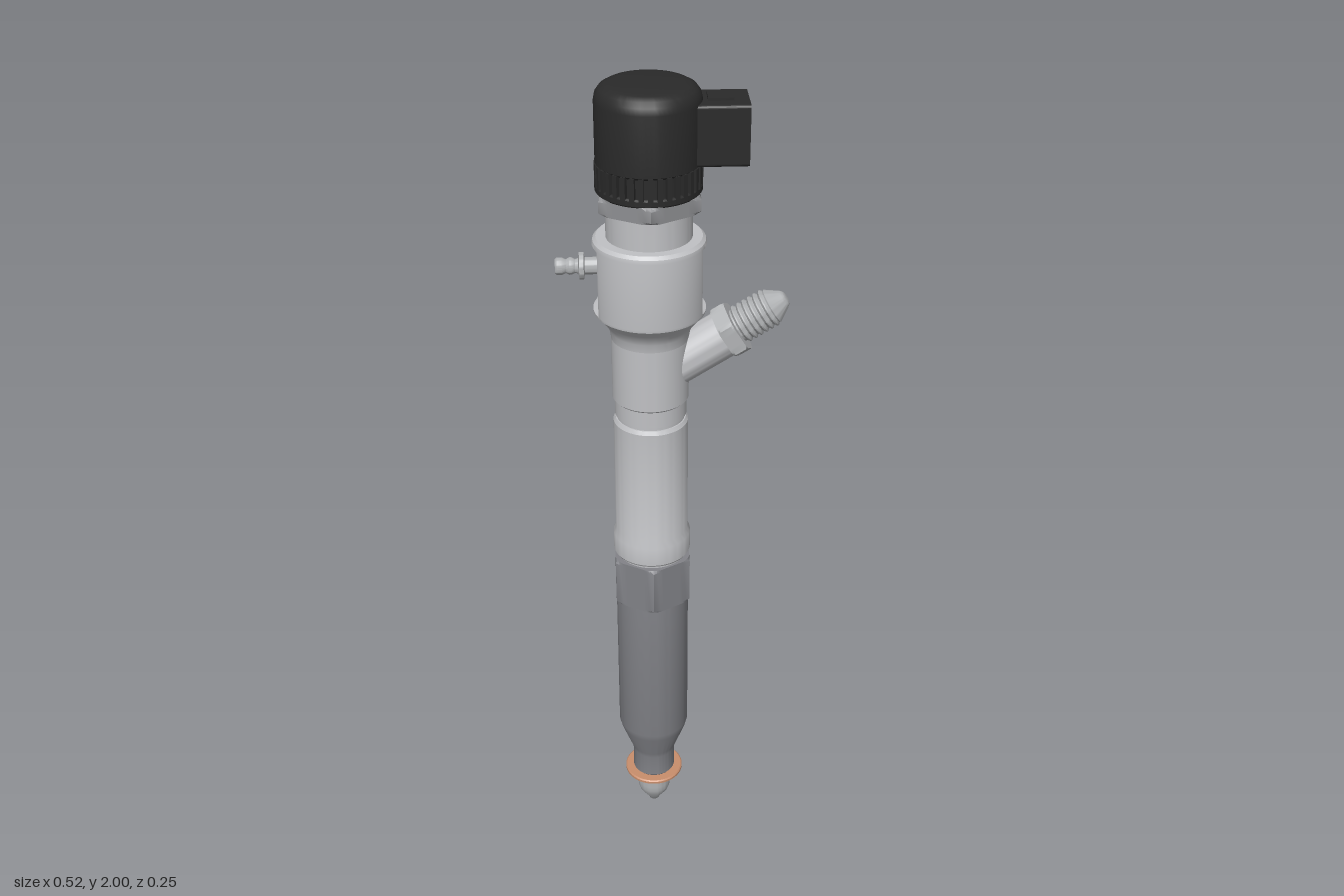
import * as THREE from 'three';
import { mergeGeometries, toCreasedNormals } from 'three/addons/utils/BufferGeometryUtils.js';

const mat = (name, color) => {
  const m = new THREE.MeshStandardMaterial({ color });
  m.name = name;
  return m;
};

export function createModel() {
  const black = mat('black plastic', 0x2a2a2a);
  const silver = mat('light steel', 0xc0c1c4);
  const fittingSteel = mat('fitting steel', 0xb2b4b6);
  const nutSteel = mat('nut steel', 0x8f9093);
  const sleeveSteel = mat('sleeve steel', 0x828388);
  const copper = mat('copper', 0xc98e6c);

  const group = new THREE.Group();
  const axis = new THREE.Group(); // main axis of the body
  axis.name = 'body';
  axis.position.x = -0.053;
  group.add(axis);

  const add = (parent, name, geometry, material) => {
    const mesh = new THREE.Mesh(geometry, material);
    mesh.name = name;
    parent.add(mesh);
    return mesh;
  };

  // Closed turned part from [radius, y] pairs, bottom to top; rule may move each vertex
  const turned = (pairs, rule, segments = 72) => {
    const ends = [[0, pairs[0][1]], ...pairs, [0, pairs[pairs.length - 1][1]]];
    const g = new THREE.LatheGeometry(ends.map(([r, y]) => new THREE.Vector2(r, y)), segments);
    if (rule) {
      const p = g.attributes.position;
      const v = new THREE.Vector3();
      for (let i = 0; i < p.count; i++) {
        rule(v.fromBufferAttribute(p, i));
        p.setXYZ(i, v.x, v.y, v.z);
      }
    }
    return toCreasedNormals(g, 0.5);
  };

  // Limits a turned part to a hexagon with corners on the z axis
  const hexRule = (corner) => (v) => {
    const r = Math.hypot(v.x, v.z);
    if (r < 1e-6) return;
    const sixth = Math.PI / 3;
    const a = (Math.atan2(v.x, v.z) + 2 * Math.PI + 1e-7) % sixth - sixth / 2;
    const s = Math.min(1, (corner * Math.cos(sixth / 2)) / Math.cos(a) / r);
    v.x *= s;
    v.z *= s;
  };
  const hexNut = (corner, y0, y1, chamfer) => turned([
    [corner * 0.93, y0], [corner, y0 + chamfer], [corner, y1 - chamfer], [corner * 0.93, y1],
  ], hexRule(corner));

  // Nozzle, sealing washer and lower sleeve
  add(axis, 'nozzle', turned([
    [0.004, 0], [0.012, 0.006], [0.02, 0.02], [0.037, 0.045], [0.042, 0.06], [0.043, 0.075], [0.043, 0.14],
  ]), fittingSteel);
  add(axis, 'washer', turned([
    [0.072, 0.118], [0.075, 0.121], [0.075, 0.127], [0.072, 0.13],
  ]), copper);
  add(axis, 'lowerSleeve', turned([
    [0.051, 0.13], [0.054, 0.134], [0.054, 0.195], [0.058, 0.21], [0.084, 0.28],
    [0.089, 0.3], [0.089, 0.715],
  ]), sleeveSteel);
  add(axis, 'lowerNut', hexNut(0.104, 0.71, 0.835, 0.006), sleeveSteel);

  // Main shaft with collar and groove
  add(axis, 'shaft', turned([
    [0.084, 0.83], [0.084, 0.843], [0.09, 0.843], [0.093, 0.848], [0.093, 0.895], [0.087, 0.91],
    [0.087, 1.207], [0.082, 1.216], [0.079, 1.216], [0.079, 1.223], [0.083, 1.225],
    [0.083, 1.265], [0.088, 1.27], [0.088, 1.43],
  ]), silver);

  // Head with two side flats between full round rims
  add(axis, 'head', turned([
    [0.088, 1.42], [0.091, 1.44], [0.098, 1.456], [0.11, 1.47], [0.121, 1.483], [0.125, 1.487],
    [0.126, 1.493], [0.126, 1.496], [0.126, 1.645], [0.126, 1.648], [0.124, 1.657],
    [0.117, 1.664], [0.095, 1.664], [0.095, 1.74],
  ], (v) => {
    const limit = v.y < 1.484 ? 0.1 : v.y > 1.4945 && v.y < 1.647 ? 0.115 : 1;
    v.x = THREE.MathUtils.clamp(v.x, -limit, limit);
  }), silver);
  add(axis, 'upperNut', hexNut(0.126, 1.735, 1.772, 0.006), nutSteel);

  // Plastic cap and its grip ribs
  add(axis, 'cap', turned([
    [0.107, 1.77], [0.107, 1.828], [0.114, 1.834], [0.114, 1.965], [0.111, 1.98],
    [0.103, 1.991], [0.09, 1.998], [0.075, 2],
  ]), black);
  const ribs = [];
  for (let i = 0; i < 36; i++) {
    const rib = new THREE.BoxGeometry(0.011, 0.05, 0.012);
    rib.translate(0, 1.808, 0.11).rotateY((i / 36) * Math.PI * 2);
    ribs.push(rib);
  }
  add(axis, 'gripRibs', mergeGeometries(ribs), black);
  add(axis, 'gripRing', turned([[0.114, 1.77], [0.116, 1.773], [0.116, 1.784], [0.112, 1.787]]), black);

  // Plug socket, open towards +x, with two pins
  const rounded = (Type, w, h, r) => {
    const s = new Type();
    s.moveTo(w, h - r);
    s.absarc(w - r, h - r, r, 0, Math.PI / 2);
    s.absarc(-w + r, h - r, r, Math.PI / 2, Math.PI);
    s.absarc(-w + r, -h + r, r, Math.PI, Math.PI * 1.5);
    s.absarc(w - r, -h + r, r, Math.PI * 1.5, Math.PI * 2);
    s.closePath();
    return s;
  };
  const socket = new THREE.Group();
  socket.name = 'plugSocket';
  socket.position.y = 1.9;
  group.add(socket);
  const frame = rounded(THREE.Shape, 0.056, 0.066, 0.007);
  frame.holes.push(rounded(THREE.Path, 0.043, 0.052, 0.006));
  const shell = new THREE.ExtrudeGeometry(frame, { depth: 0.152, bevelEnabled: false, curveSegments: 4 });
  add(socket, 'socketShell', shell.rotateY(Math.PI / 2).translate(0.005, 0, 0), black);
  add(socket, 'socketFloor', new THREE.BoxGeometry(0.09, 0.108, 0.09).translate(0.06, 0, 0), black);
  add(socket, 'latchTab', new THREE.BoxGeometry(0.054, 0.012, 0.048).translate(0.097, 0.066, 0), black);
  for (const side of [-1, 1]) {
    add(socket, 'pin', new THREE.BoxGeometry(0.045, 0.014, 0.012).translate(0.125, 0, side * 0.019), silver);
  }

  // Return nipple pointing to -x
  const nipple = add(group, 'returnNipple', turned([
    [0.019, 0], [0.019, 0.055], [0.03, 0.057], [0.03, 0.067], [0.017, 0.069], [0.015, 0.076],
    [0.019, 0.084], [0.019, 0.089], [0.015, 0.096], [0.019, 0.105], [0.019, 0.116], [0.016, 0.12],
  ], null, 32), fittingSteel);
  nipple.position.set(-0.14, 1.594, 0);
  nipple.rotation.z = Math.PI / 2;

  // Slanted inlet: branch, nut, threaded stud and sealing cone
  const inlet = new THREE.Group();
  inlet.name = 'inlet';
  inlet.position.set(0.13, 1.43, 0);
  inlet.rotation.z = THREE.MathUtils.degToRad(32 - 90);
  group.add(inlet);
  add(inlet, 'branch', turned([[0.054, -0.19], [0.054, -0.012]], null, 48), silver);
  const nut = add(inlet, 'inletNut', hexNut(0.067, -0.018, 0.018, 0.005), fittingSteel);
  nut.rotation.y = Math.PI / 2;
  const thread = [[0.039, 0.015]];
  for (let i = 0; i < 6; i++) {
    const y = 0.022 + i * 0.014;
    thread.push([0.039, y], [0.045, y + 0.005], [0.045, y + 0.008], [0.039, y + 0.013]);
  }
  thread.push([0.041, 0.108], [0.021, 0.138], [0.016, 0.143], [0.008, 0.146]);
  add(inlet, 'threadedStud', turned(thread, null, 40), fittingSteel);

  return group;
}
